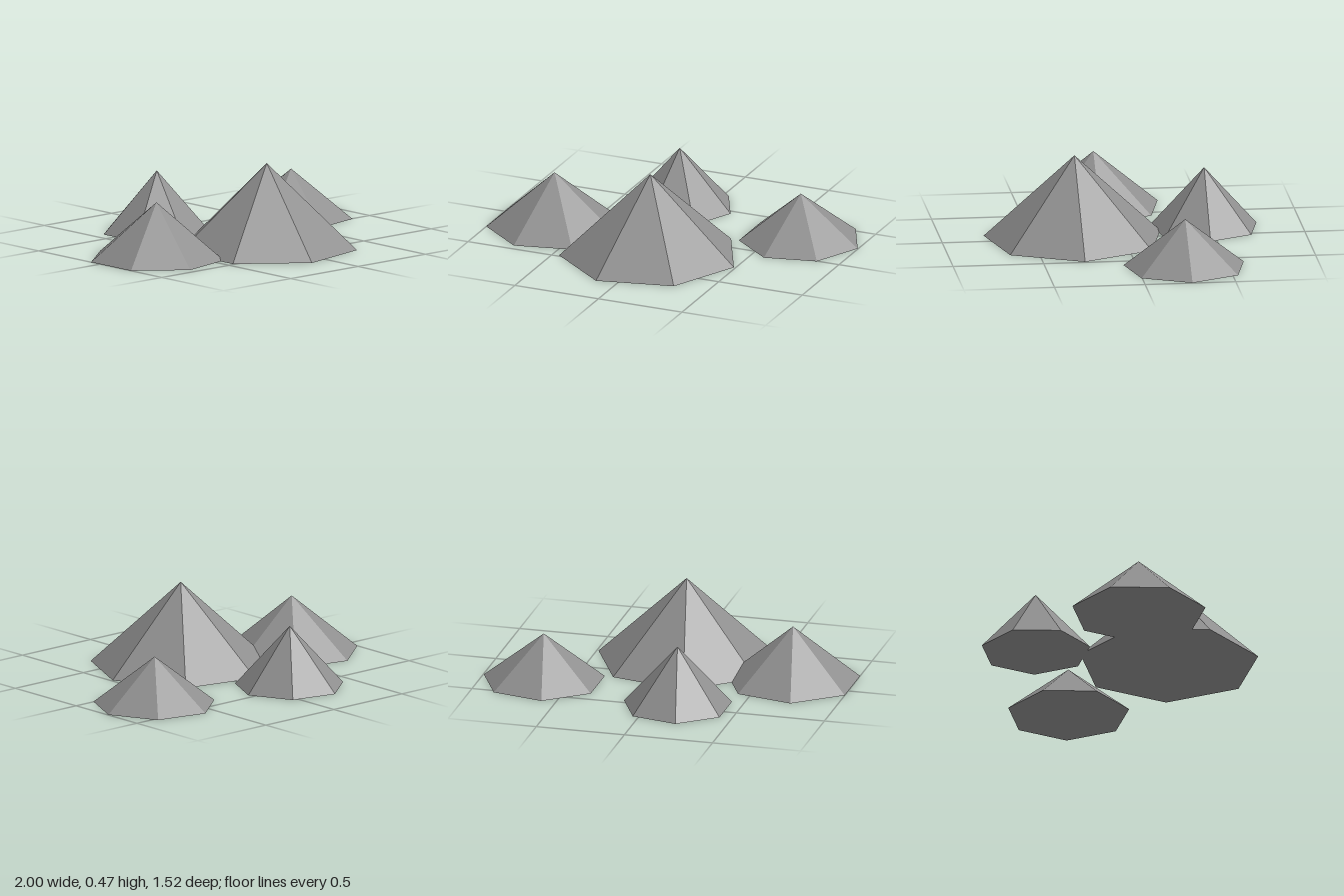
import * as THREE from 'three';

// Seven-sided peaks: base centre, base radius and height
const PEAKS = [
  { name: 'mainPeak', x: -0.01, z: 0.27, radius: 0.5, height: 0.47 },
  { name: 'backPeak', x: -0.156, z: -0.463, radius: 0.304, height: 0.34 },
  { name: 'rightPeak', x: -0.663, z: 0.088, radius: 0.374, height: 0.313 },
  { name: 'leftPeak', x: 0.657, z: -0.262, radius: 0.34, height: 0.27 },
];

export function createModel() {
  const group = new THREE.Group();
  group.name = 'mountainRange';
  const rock = new THREE.MeshStandardMaterial({ color: 0x909090, flatShading: true });
  rock.name = 'rockGrey';

  for (const { name, x, z, radius, height } of PEAKS) {
    // One base corner points along +x
    const cone = new THREE.ConeGeometry(radius, height, 7, 1, false, Math.PI / 2);
    const peak = new THREE.Mesh(cone, rock);
    peak.name = name;
    peak.position.set(x, height / 2, z);
    group.add(peak);
  }
  return group;
}
